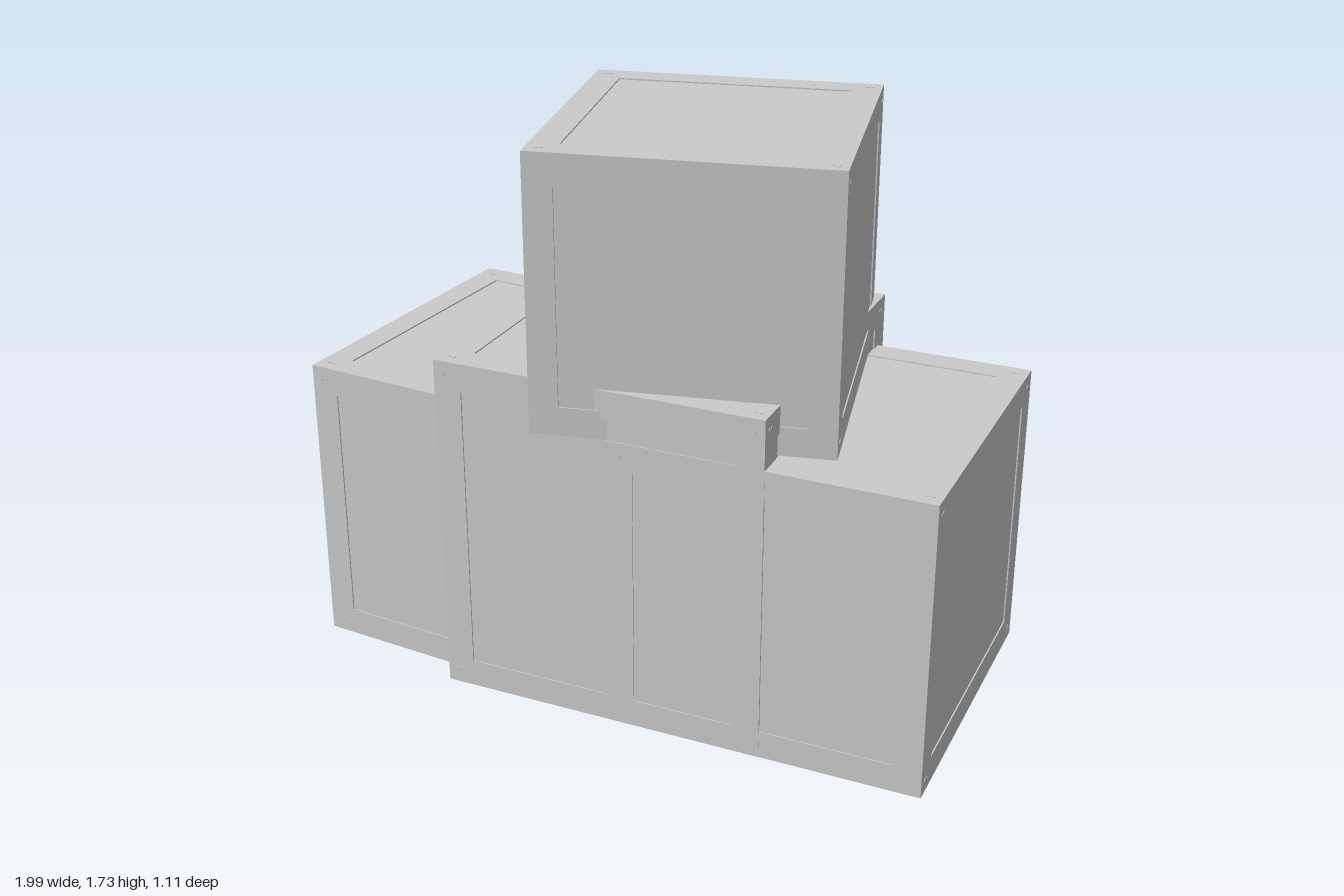
import * as THREE from 'three';

const grey = new THREE.MeshStandardMaterial({ color: 0xcccccc, flatShading: true });

function add(parent, name, geometry, x = 0, y = 0, z = 0) {
  const mesh = new THREE.Mesh(geometry, grey);
  mesh.name = name;
  mesh.position.set(x, y, z);
  parent.add(mesh);
  return mesh;
}

// Rectangular border of the given bar width, centred in XY, from z = 0 to depth
function frameGeometry(w, h, bar, depth) {
  const rect = (S, a, b) => new S([
    new THREE.Vector2(-a, -b), new THREE.Vector2(a, -b),
    new THREE.Vector2(a, b), new THREE.Vector2(-a, b),
  ]);
  const shape = rect(THREE.Shape, w / 2, h / 2);
  shape.holes.push(rect(THREE.Path, w / 2 - bar, h / 2 - bar));
  return new THREE.ExtrudeGeometry(shape, { depth, bevelEnabled: false });
}

const BAR = 0.085, RELIEF = 0.004, WALL = 0.02;

// A framed panel facing +z, its outer surface on z = 0, with screws in the corners
function framedPanel(name, w, h) {
  const g = new THREE.Group();
  g.name = name;
  add(g, 'panel', new THREE.BoxGeometry(w - 0.002, h - 0.002, WALL), 0, 0, -RELIEF - WALL / 2);
  add(g, 'panelFrame', frameGeometry(w, h, BAR, RELIEF), 0, 0, -RELIEF);
  const screw = new THREE.CylinderGeometry(0.006, 0.006, 0.003, 8).rotateX(Math.PI / 2);
  for (const sx of [-1, 1]) for (const sy of [-1, 1]) {
    add(g, 'screw', screw, sx * (w / 2 - 0.045), sy * (h / 2 - 0.04), 0);
    add(g, 'screw', screw, sx * (w / 2 - 0.03), sy * (h / 2 - 0.04), 0);
  }
  return g;
}

// Square crate standing on its own y = 0, hollow and open below
function crate(name, size, height) {
  const g = new THREE.Group();
  g.name = name;
  for (let i = 0; i < 4; i++) {
    const side = new THREE.Group();
    side.name = 'side';
    side.rotation.y = i * Math.PI / 2;
    const panel = framedPanel('sidePanel', size, height);
    panel.position.set(0, height / 2, size / 2);
    side.add(panel);
    // inner battens behind the wall
    add(side, 'innerFrame', frameGeometry(size - 0.08, height - 0.06, 0.05, 0.02),
      0, height / 2, size / 2 - WALL - RELIEF - 0.02);
    g.add(side);
  }
  const lid = framedPanel('lid', size, size);
  lid.rotation.x = -Math.PI / 2;
  lid.position.y = height;
  g.add(lid);
  return g;
}

// Horizontal frame used on the undersides
function floorFrame(parent, w, d, bar, y) {
  const frame = add(parent, 'floorFrame', frameGeometry(w, d, bar, 0.025), 0, y, 0);
  frame.rotation.x = -Math.PI / 2;
}

export function createModel() {
  const model = new THREE.Group();
  model.name = 'crateStack';

  const place = (c, x, y, z, turn) => {
    c.position.set(x, y, z);
    c.rotation.y = turn;
    model.add(c);
    return c;
  };

  place(crate('turnedCrate', 0.957, 0.91), -0.48, 0, -0.045, -0.082);
  place(crate('sideCrate', 0.958, 0.91), 0.513, 0, 0.03, 0);
  const middle = place(crate('middleCrate', 1.01, 1.06), 0.005, 0, 0.005, 0);
  const top = place(crate('topCrate', 0.86, 0.812), 0.155, 0.912, 0.042, 0.213);

  // Closed floor of the upper crate
  add(top, 'floor', new THREE.BoxGeometry(0.85, 0.02, 0.85), 0, 0.015, 0);
  floorFrame(top, 0.86, 0.86, BAR, 0);

  // Stepped, slatted floor under the middle crate
  add(middle, 'floor', new THREE.BoxGeometry(0.97, 0.02, 0.97), 0, 0.1, 0);
  floorFrame(middle, 0.96, 0.96, 0.03, 0.065);
  floorFrame(middle, 0.92, 0.68, 0.03, 0.05);
  floorFrame(middle, 0.84, 0.6, 0.025, 0.03);
  add(middle, 'slatBacking', new THREE.BoxGeometry(0.8, 0.03, 0.56), 0, 0.075, 0);
  for (let i = 0; i < 10; i++) {
    const x = (i - 4.5) * 0.076 + (i < 5 ? -0.012 : 0.012);
    add(middle, 'slat', new THREE.BoxGeometry(0.066, 0.02, 0.54), x, 0.05, 0);
  }
  return model;
}
